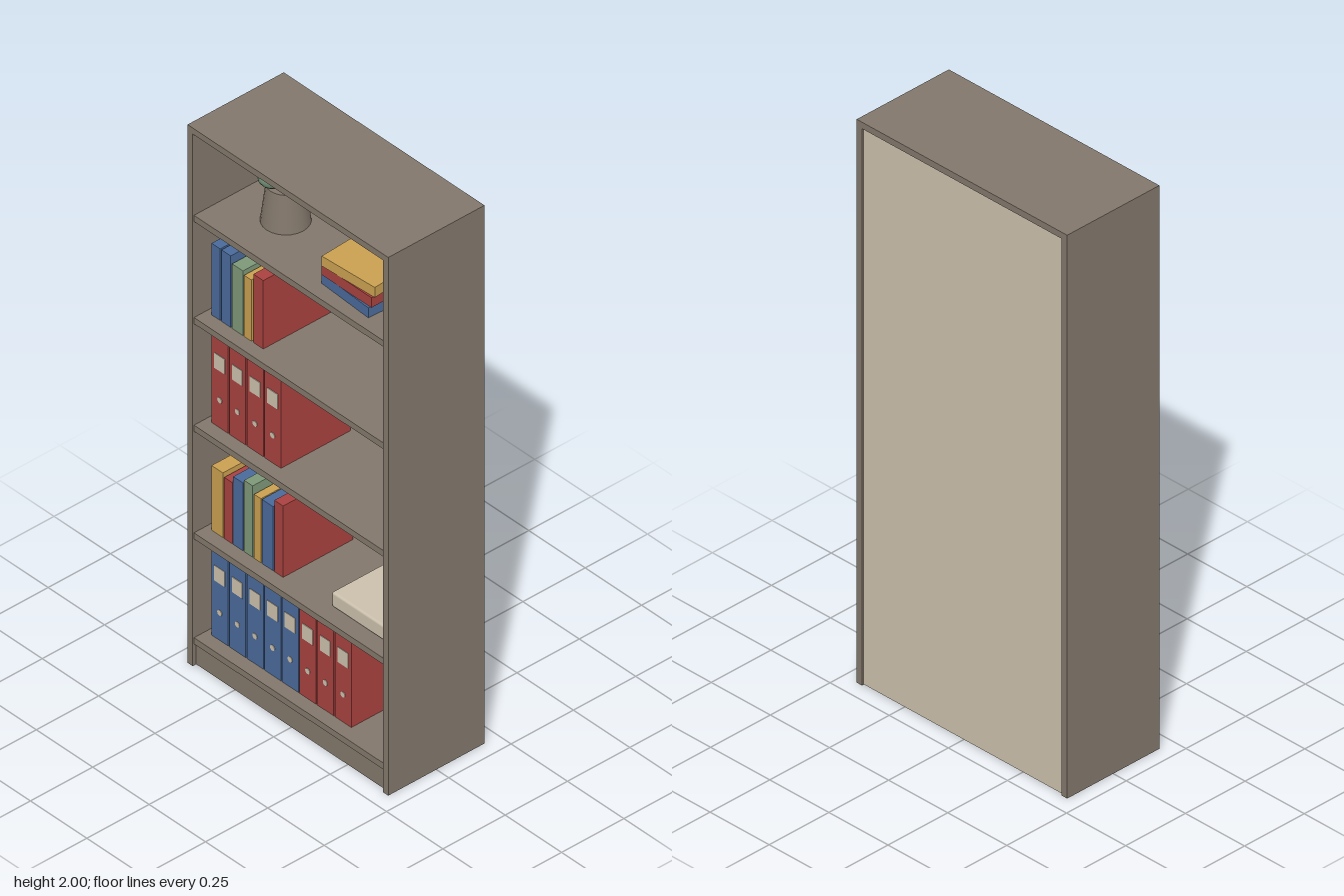
import * as THREE from 'three';
import { RoundedBoxGeometry } from 'three/addons/geometries/RoundedBoxGeometry.js';

const mat = (color) => new THREE.MeshStandardMaterial({ color });
const wood = mat(0x82776b), cream = mat(0xcbc0ac), leafGreen = mat(0x75937a);
const colors = { blue: mat(0x4a6a9a), red: mat(0xa8423f), yellow: mat(0xc9a050), green: mat(0x7d9878) };

const W = 0.445, D = 0.193, T = 0.023; // half width, half depth, board thickness
const IN = W - T;
const shelfTops = [0.103, 0.493, 0.893, 1.293, 1.673];

export function createModel() {
  const root = new THREE.Group();
  root.name = 'bookcase';

  function add(parent, name, geometry, material, x = 0, y = 0, z = 0) {
    const mesh = new THREE.Mesh(geometry, material);
    mesh.name = name;
    mesh.position.set(x, y, z);
    parent.add(mesh);
    return mesh;
  }
  // box given by its lower and upper limits on each axis
  const box = (parent, name, material, x0, x1, y0, y1, z0, z1) =>
    add(parent, name, new THREE.BoxGeometry(x1 - x0, y1 - y0, z1 - z0), material,
      (x0 + x1) / 2, (y0 + y1) / 2, (z0 + z1) / 2);

  // Carcass
  box(root, 'leftSide', wood, IN, W, 0, 2, -D, D);
  box(root, 'rightSide', wood, -W, -IN, 0, 2, -D, D);
  box(root, 'top', wood, -IN, IN, 2 - T, 2, -D, D);
  box(root, 'backPanel', cream, -IN, IN, 0.003, 2 - T, -D + 0.005, -D + 0.016);
  box(root, 'kickBoard', wood, -IN, IN, 0, shelfTops[0] - T, D - 0.035, D - 0.014);
  for (const y of shelfTops) box(root, 'shelf', wood, -IN, IN, y - T, y, -D + 0.016, D - 0.005);

  // Ring binders with a spine label and finger hole
  function binder(x, y, color) {
    const g = new THREE.Group();
    g.name = 'binder';
    g.position.set(x, y, 0);
    root.add(g);
    box(g, 'binderBody', colors[color], -0.0365, 0.0365, 0, 0.342, -0.14, 0.14);
    box(g, 'spineLabel', cream, -0.023, 0.023, 0.212, 0.268, 0.139, 0.142);
    const dot = add(g, 'fingerHole', new THREE.CylinderGeometry(0.01, 0.01, 0.003, 16), cream, 0, 0.103, 0.1405);
    dot.rotation.x = Math.PI / 2;
  }
  for (let i = 0; i < 8; i++) binder(-0.36 + i * 0.078, shelfTops[0], i < 5 ? 'blue' : 'red');
  for (let i = 0; i < 4; i++) binder(-0.36 + i * 0.078, shelfTops[2], 'red');

  // Upright books: [left edge, width, height, colour]
  function bookRow(y, row) {
    for (const [x, w, h, color] of row) box(root, 'book', colors[color], x, x + w, y, y + h, -0.14, 0.14);
  }
  bookRow(shelfTops[1], [
    [-0.397, 0.05, 0.24, 'yellow'], [-0.341, 0.036, 0.227, 'red'], [-0.301, 0.043, 0.252, 'blue'],
    [-0.253, 0.038, 0.265, 'green'], [-0.208, 0.03, 0.238, 'yellow'], [-0.174, 0.05, 0.238, 'blue'],
    [-0.119, 0.039, 0.265, 'red'],
  ]);
  bookRow(shelfTops[3], [
    [-0.397, 0.038, 0.266, 'blue'], [-0.353, 0.041, 0.266, 'blue'], [-0.306, 0.048, 0.24, 'green'],
    [-0.253, 0.032, 0.227, 'yellow'], [-0.212, 0.044, 0.254, 'red'],
  ]);

  // Storage box
  add(root, 'storageBox', new RoundedBoxGeometry(0.242, 0.055, 0.25, 2, 0.008), cream, 0.244, shelfTops[1] + 0.0275, 0.005);

  // Stack of lying books, each turned slightly
  [['blue', -0.055], ['red', 0], ['yellow', 0.055]].forEach(([color, turn], i) => {
    const book = add(root, 'lyingBook', new THREE.BoxGeometry(0.222, 0.037, 0.28), colors[color],
      0.201, shelfTops[4] + 0.0195 + i * 0.039, 0);
    book.rotation.y = turn;
  });

  // Potted plant
  const plant = new THREE.Group();
  plant.name = 'pottedPlant';
  plant.position.set(-0.223, shelfTops[4], 0);
  root.add(plant);
  add(plant, 'pot', new THREE.CylinderGeometry(0.06, 0.077, 0.135, 24), wood, 0, 0.0675, 0);
  for (let i = 0; i < 5; i++) {
    const a = (i / 5) * Math.PI * 2 + 0.15;
    const leaf = add(plant, 'leafClump', new THREE.SphereGeometry(1, 16, 12), leafGreen,
      0.045 * Math.cos(a), 0.195 + (i % 2) * 0.01, 0.045 * Math.sin(a));
    leaf.scale.set(0.068, 0.046, 0.05);
    leaf.rotation.y = -a;
  }
  return root;
}
